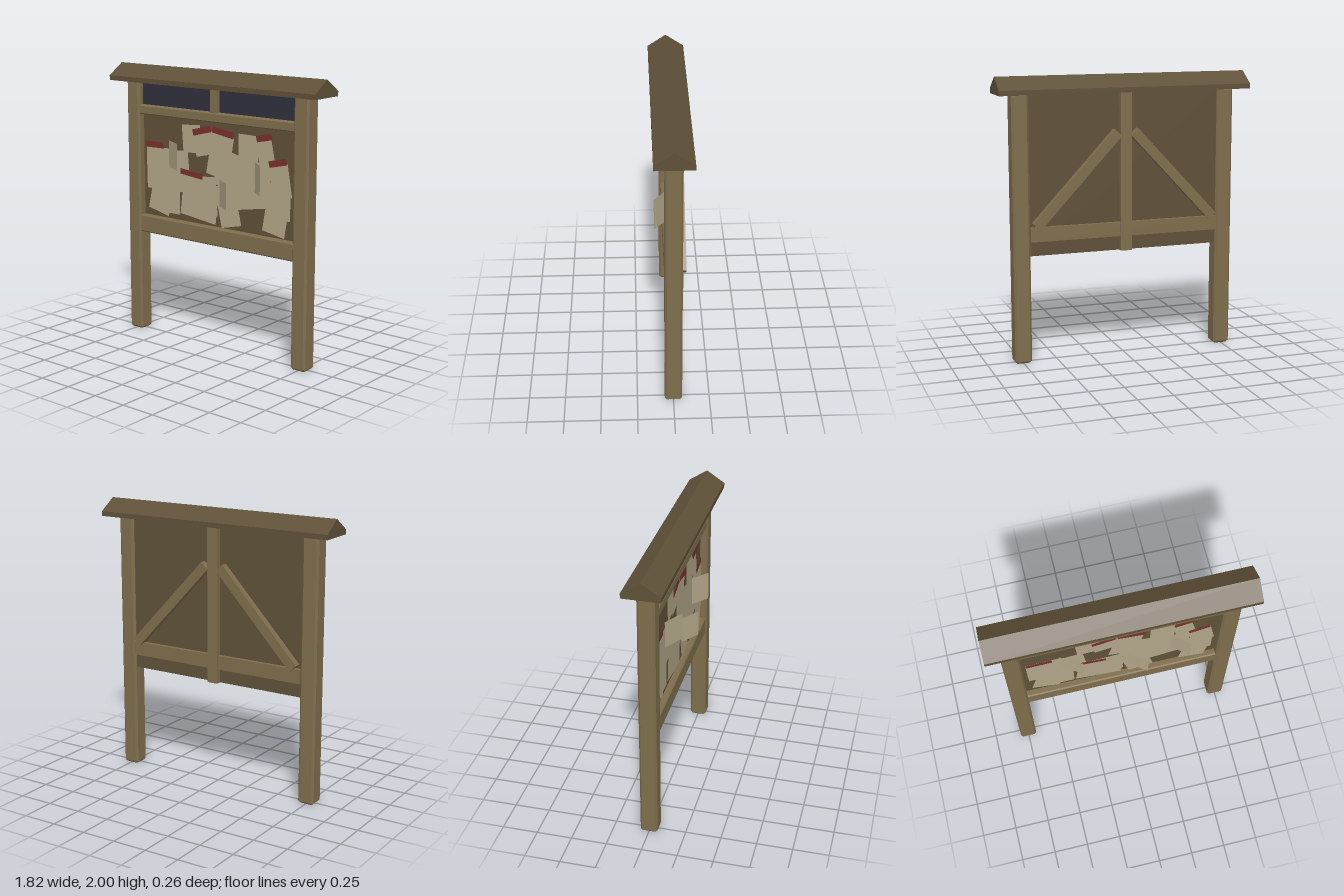
import * as THREE from 'three';

const mat = (name, color, side = THREE.FrontSide) => {
  const m = new THREE.MeshStandardMaterial({ color, side });
  m.name = name;
  return m;
};

export function createModel() {
  const wood = mat('wood', 0x7f6e4c);
  const darkWood = mat('dark wood', 0x5f5138);
  const glass = mat('dark slate', 0x30303c);
  const paper = mat('paper', 0xb2a688, THREE.DoubleSide);
  const red = mat('red', 0x78302e, THREE.DoubleSide);

  const model = new THREE.Group();
  model.name = 'noticeBoard';
  const add = (name, geometry, material, x = 0, y = 0, z = 0, parent = model) => {
    const mesh = new THREE.Mesh(geometry, material);
    mesh.name = name;
    mesh.position.set(x, y, z);
    parent.add(mesh);
    return mesh;
  };
  const box = (w, h, d) => new THREE.BoxGeometry(w, h, d);

  // Beam along z with all edges chamfered by c, centred on the origin
  const beam = (w, h, length, c) => {
    const a = w / 2 - c, b = h / 2 - c;
    const shape = new THREE.Shape([
      [a, -b - c], [a + c, -b], [a + c, b], [a, b + c],
      [-a, b + c], [-a - c, b], [-a - c, -b], [-a, -b - c],
    ].map(([x, y]) => new THREE.Vector2(x, y)));
    return new THREE.ExtrudeGeometry(shape, {
      depth: length - 2 * c, bevelEnabled: true, bevelSegments: 1,
      bevelThickness: c, bevelSize: c, bevelOffset: -c,
    }).translate(0, 0, c - length / 2);
  };

  // Posts
  for (const s of [-1, 1]) {
    add(s > 0 ? 'leftPost' : 'rightPost', beam(0.12, 0.12, 1.885, 0.014).rotateX(Math.PI / 2), wood, s * 0.75, 0.9425, 0);
  }

  // Gabled roof beam
  const gable = new THREE.Shape([[-0.13, 1.88], [0.13, 1.88], [0.13, 1.915], [0, 2], [-0.13, 1.915]]
    .map(([x, y]) => new THREE.Vector2(x, y)));
  add('roof', new THREE.ExtrudeGeometry(gable, { depth: 1.82, bevelEnabled: false })
    .translate(0, 0, -0.91).rotateY(Math.PI / 2), darkWood);

  // Backing board and front frame
  add('backBoard', box(1.4, 1.12, 0.045), darkWood, 0, 1.322, -0.0175);
  const rail = (name, y0, y1) =>
    add(name, beam(0.07, y1 - y0, 1.4, 0.009).rotateY(Math.PI / 2), wood, 0, (y0 + y1) / 2, 0.015);
  rail('bottomRail', 0.76, 0.89);
  rail('middleRail', 1.64, 1.71);
  add('topDivider', box(0.06, 0.19, 0.05), wood, 0, 1.79, 0.02);
  for (const s of [-1, 1]) {
    add('headerPanel', box(0.66, 0.18, 0.008), glass, s * 0.36, 1.795, 0.009);
  }

  // Rear bracing
  add('rearBatten', box(1.38, 0.1, 0.03), wood, 0, 0.915, -0.055);
  add('rearUpright', box(0.08, 1.12, 0.045), wood, 0, 1.322, -0.0585);
  for (const s of [-1, 1]) {
    const brace = add('diagonalBrace', box(0.863, 0.07, 0.05), wood, s * 0.355, 1.285, -0.064);
    brace.rotation.z = -s * Math.atan2(0.63, 0.59);
  }

  // Pinned sheets: centre x, centre y, width, height, tilt in degrees
  const sheets = [
    [-0.54, 1.25, 0.24, 0.31, 1], [-0.35, 1.25, 0.20, 0.30, 6],
    [-0.44, 1.11, 0.20, 0.36, 0], [-0.515, 1.065, 0.20, 0.285, -13],
    [-0.225, 1.50, 0.17, 0.20, 4], [-0.105, 1.475, 0.19, 0.16, 13],
    [0.035, 1.405, 0.195, 0.31, -11], [-0.13, 1.10, 0.27, 0.28, 4],
    [-0.15, 1.065, 0.33, 0.28, -7], [0.285, 1.44, 0.17, 0.28, -1],
    [0.435, 1.47, 0.135, 0.18, 12], [0.12, 1.31, 0.23, 0.27, -14],
    [0.30, 1.21, 0.30, 0.29, 10], [0.11, 1.06, 0.18, 0.30, 13],
    [0.40, 1.25, 0.16, 0.30, 0], [0.565, 1.29, 0.16, 0.23, 10],
    [0.56, 1.15, 0.18, 0.25, 0], [0.535, 1.065, 0.19, 0.30, -10],
  ];
  // Red headings, same layout
  const headings = [
    [-0.57, 1.425, 0.18, 0.045, 1], [-0.12, 1.57, 0.17, 0.045, 14],
    [0.07, 1.575, 0.19, 0.045, -9], [0.43, 1.575, 0.135, 0.045, 12],
    [0.545, 1.415, 0.15, 0.045, 13], [-0.215, 1.25, 0.21, 0.04, -6],
  ];
  const pinned = new THREE.Group();
  pinned.name = 'pinnedSheets';
  model.add(pinned);
  const pin = (name, list, material, z0, step) => list.forEach(([x, y, w, h, deg], i) => {
    const mesh = add(name, new THREE.PlaneGeometry(w, h), material, x, y, z0 + i * step, pinned);
    mesh.rotation.z = THREE.MathUtils.degToRad(deg);
  });
  pin('sheet', sheets, paper, 0.01, 0.0009);
  pin('redHeading', headings, red, 0.027, 0.0005);

  // Loose sheets swinging out from their right edge: x0, x1, y0, y1, reach
  for (const [x0, x1, y0, y1, reach] of [
    [-0.43, -0.28, 1.275, 1.47, 0.11], [0.04, 0.17, 1.05, 1.24, 0.115], [0.35, 0.465, 1.19, 1.40, 0.12],
  ]) {
    const dx = x1 - x0, dz = reach - 0.025;
    const sheet = add('looseSheet', new THREE.PlaneGeometry(Math.hypot(dx, dz), y1 - y0), paper,
      (x0 + x1) / 2, (y0 + y1) / 2, 0.025 + dz / 2, pinned);
    sheet.rotation.y = -Math.atan2(dz, dx);
  }
  return model;
}
